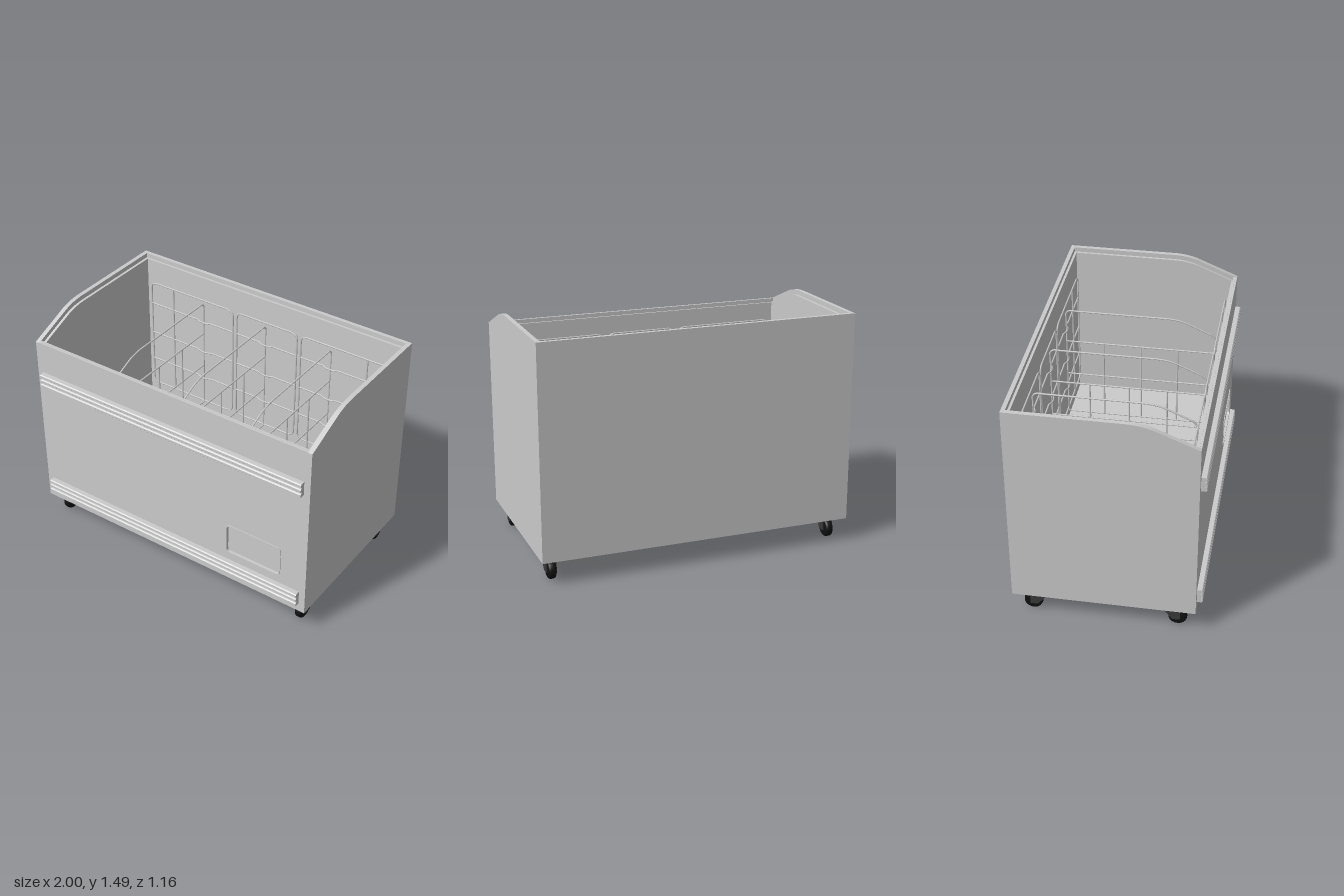
import * as THREE from 'three';

const grey = new THREE.MeshStandardMaterial({ color: 0xcccccc });
const forkMat = new THREE.MeshStandardMaterial({ color: 0x3a3a3a });
const tyreMat = new THREE.MeshStandardMaterial({ color: 0x111111 });

function add(parent, geometry, name, material = grey) {
  const mesh = new THREE.Mesh(geometry, material);
  mesh.name = name;
  parent.add(mesh);
  return mesh;
}

// Box given by its limits on each axis
function block(parent, name, x0, x1, y0, y1, z0, z1) {
  add(parent, new THREE.BoxGeometry(x1 - x0, y1 - y0, z1 - z0), name)
    .position.set((x0 + x1) / 2, (y0 + y1) / 2, (z0 + z1) / 2);
}

// Shape drawn in (z, y), extruded from x0 to x1
function extrudeX(shape, x0, x1) {
  const g = new THREE.ExtrudeGeometry(shape, { depth: x1 - x0, bevelEnabled: false, curveSegments: 10 });
  return g.rotateY(-Math.PI / 2).translate(x1, 0, 0);
}

function roundedRect(path, x0, x1, y0, y1, r) {
  path.moveTo(x0 + r, y0);
  path.lineTo(x1 - r, y0);
  path.quadraticCurveTo(x1, y0, x1, y0 + r);
  path.lineTo(x1, y1 - r);
  path.quadraticCurveTo(x1, y1, x1 - r, y1);
  path.lineTo(x0 + r, y1);
  path.quadraticCurveTo(x0, y1, x0, y1 - r);
  path.lineTo(x0, y0 + r);
  path.quadraticCurveTo(x0, y0, x0 + r, y0);
  return path;
}

// Side wall outline: flat top curving into a slope at the front
function sideShape(drop) {
  const s = new THREE.Shape();
  s.moveTo(-0.575, 0.15);
  s.lineTo(0.545, 0.15);
  s.lineTo(0.545, 1.35 - drop);
  s.lineTo(0.3, 1.45 - drop);
  s.quadraticCurveTo(0.22, 1.485 - drop, 0.12, 1.485 - drop);
  s.lineTo(-0.575, 1.485 - drop);
  s.closePath();
  return s;
}

function buildCabinet(root) {
  const cabinet = new THREE.Group();
  cabinet.name = 'cabinet';
  root.add(cabinet);
  for (const s of [-1, 1]) {
    const span = (a, b) => (s > 0 ? [a, b] : [-b, -a]);
    add(cabinet, extrudeX(sideShape(0), ...span(0.972, 1)), 'sideWall');
    add(cabinet, extrudeX(sideShape(0.03), ...span(0.955, 0.972)), 'sideLiner');
  }
  block(cabinet, 'backWall', -0.972, 0.972, 0.15, 1.485, -0.575, -0.55);
  block(cabinet, 'backLiner', -0.955, 0.955, 0.15, 1.455, -0.55, -0.535);
  block(cabinet, 'base', -0.972, 0.972, 0.15, 0.4, -0.55, 0.53);
  block(cabinet, 'frontBacking', -0.972, 0.972, 0.15, 1.355, 0.52, 0.532);
  block(cabinet, 'frontLiner', -0.955, 0.955, 0.15, 1.33, 0.508, 0.52);

  // Front panel with a shallow rounded recess
  const front = new THREE.Shape();
  front.moveTo(-0.972, 0.15);
  front.lineTo(0.972, 0.15);
  front.lineTo(0.972, 1.353);
  front.lineTo(-0.972, 1.353);
  front.holes.push(roundedRect(new THREE.Path(), 0.437, 0.813, 0.367, 0.568, 0.025));
  add(cabinet, new THREE.ExtrudeGeometry(front, { depth: 0.013, bevelEnabled: false }).translate(0, 0, 0.532), 'frontPanel');
  const frame = roundedRect(new THREE.Shape(), 0.428, 0.822, 0.358, 0.577, 0.03);
  frame.holes.push(roundedRect(new THREE.Path(), 0.437, 0.813, 0.367, 0.568, 0.025));
  add(cabinet, new THREE.ExtrudeGeometry(frame, { depth: 0.005, bevelEnabled: false }).translate(0, 0, 0.545), 'recessFrame');
}

// Bumper strip with three ridges
function buildBumper(root, y) {
  const s = new THREE.Shape();
  s.moveTo(0.54, y);
  for (let i = 0; i < 3; i++) {
    const b = y + i * 0.034;
    s.lineTo(0.575, b);
    s.lineTo(0.581, b + 0.006);
    s.lineTo(0.581, b + 0.02);
    s.lineTo(0.575, b + 0.026);
    if (i < 2) {
      s.lineTo(0.568, b + 0.026);
      s.lineTo(0.568, b + 0.034);
    }
  }
  s.lineTo(0.54, y + 0.094);
  s.closePath();
  add(root, extrudeX(s, -0.958, 0.958), 'bumperStrip');
}

// Thin round wire through a list of points
function wire(parent, points, closed, name) {
  const curve = new THREE.CatmullRomCurve3(points, closed);
  add(parent, new THREE.TubeGeometry(curve, Math.max(8, points.length * 2), 0.0055, 6, closed), name);
}

const V = (x, y, z) => new THREE.Vector3(x, y, z);

// Wire panel standing against the front or back wall, with crossbars that bulge round a divider
function buildWirePanel(root, x0, x1, xDiv, z, top, inward) {
  const panel = new THREE.Group();
  panel.name = 'wirePanel';
  root.add(panel);
  const outline = roundedRect(new THREE.Shape(), x0, x1, 0.5, top, 0.04).getSpacedPoints(60);
  outline.pop();
  wire(panel, outline.map((p) => V(p.x, p.y, z)), true, 'panelOutline');
  for (const y of [top - 0.16, top - 0.39, top - 0.6]) {
    const xs = [x0, xDiv - 0.08, xDiv - 0.05, xDiv - 0.025, xDiv + 0.025, xDiv + 0.05, xDiv + 0.08, x1];
    wire(panel, xs.map((x) => V(x, y, z + (Math.abs(x - xDiv) < 0.04 ? 0.014 * inward : 0))), false, 'crossbar');
  }
  if (xDiv !== 0) {
    const x = Math.sign(xDiv) * 0.74;
    wire(panel, [V(x, 0.5, z), V(x, top, z)], false, 'upright');
  }
}

// Wire divider running front to back, its top following the side walls
function buildDivider(root, x) {
  const divider = new THREE.Group();
  divider.name = 'divider';
  root.add(divider);
  const s = new THREE.Shape();
  s.moveTo(-0.515, 0.5);
  s.lineTo(-0.515, 1.28);
  s.lineTo(0.14, 1.28);
  s.quadraticCurveTo(0.22, 1.28, 0.28, 1.255);
  s.lineTo(0.43, 1.19);
  s.quadraticCurveTo(0.466, 1.17, 0.466, 1.13);
  s.lineTo(0.466, 0.5);
  s.closePath();
  const pts = s.getSpacedPoints(90);
  pts.pop();
  wire(divider, pts.map((p) => V(x, p.y, p.x)), true, 'dividerOutline');
  for (const y of [1.05, 0.8]) wire(divider, [V(x, y, -0.515), V(x, y, 0.466)], false, 'dividerBar');
  for (const z of [-0.27, -0.02, 0.22]) wire(divider, [V(x, 0.5, z), V(x, 1.05, z)], false, 'dividerUpright');
}

// Caster: two fork cheeks, a top plate and a wheel set toward the outer end
function buildCaster(root, x, z, dir) {
  const caster = new THREE.Group();
  caster.name = 'caster';
  const cheek = new THREE.Shape([[0.016, 0.15], [-0.09, 0.15], [-0.09, 0.12], [-0.03, 0.045], [0.016, 0.045]]
    .map(([u, v]) => new THREE.Vector2(u, v)));
  for (const c of [-0.033, 0.027]) add(caster, extrudeX(cheek, c, c + 0.006), 'forkCheek', forkMat);
  add(caster, new THREE.BoxGeometry(0.06, 0.012, 0.106), 'forkPlate', forkMat).position.set(0, 0.144, -0.037);
  const profile = [[0, -0.024], [0.046, -0.024], [0.055, -0.018], [0.058, -0.008], [0.058, 0.008], [0.055, 0.018], [0.046, 0.024], [0, 0.024]];
  const wheel = new THREE.LatheGeometry(profile.map(([r, h]) => new THREE.Vector2(r, h)), 28).rotateZ(Math.PI / 2);
  add(caster, wheel, 'wheel', tyreMat).position.y = 0.058;
  add(caster, new THREE.CylinderGeometry(0.01, 0.01, 0.07, 12).rotateZ(Math.PI / 2), 'axle', forkMat).position.y = 0.058;
  caster.position.set(x, 0, z);
  if (dir < 0) caster.rotation.y = Math.PI;
  root.add(caster);
}

export function createModel() {
  const root = new THREE.Group();
  root.name = 'chestFreezer';
  buildCabinet(root);
  for (const y of [0.21, 1.046]) buildBumper(root, y);
  for (const [x0, x1, xDiv] of [[-0.92, -0.26, -0.487], [-0.23, 0.23, 0], [0.26, 0.92, 0.487]]) {
    buildWirePanel(root, x0, x1, xDiv, -0.525, 1.295, 1);
    buildWirePanel(root, x0, x1, xDiv, 0.478, 1.22, -1);
    buildDivider(root, xDiv);
  }
  for (const x of [-0.92, 0.92]) {
    buildCaster(root, x, 0.43, 1);
    buildCaster(root, x, -0.46, -1);
  }
  return root;
}
